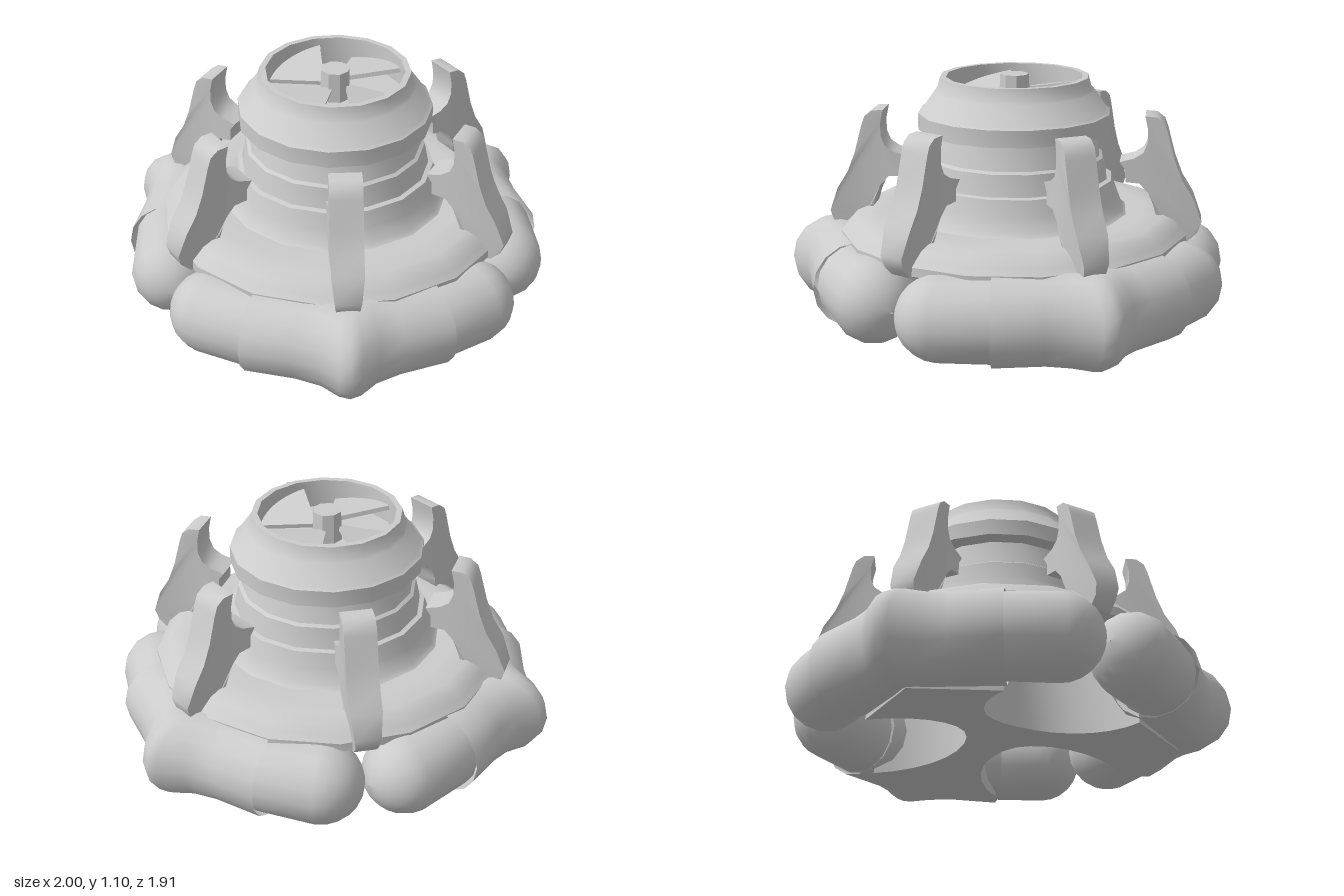
import * as THREE from 'three';
import { toCreasedNormals } from 'three/addons/utils/BufferGeometryUtils.js';

const material = new THREE.MeshStandardMaterial({ color: 0xcccccc, side: THREE.DoubleSide });
const V2 = (p) => new THREE.Vector2(p[0], p[1]);

function add(parent, name, geometry, angle = 0) {
  const mesh = new THREE.Mesh(geometry, material);
  mesh.name = name;
  mesh.rotation.y = angle;
  parent.add(mesh);
}

// Loft through oval rings [centre x, centre z, outer x, outer z, half height], z rising
function loft(rings, sides = 16, yMid = 0.213) {
  const pos = [], idx = [];
  rings.forEach(([cx, cz, ox, oz, h], i) => {
    for (let j = 0; j < sides; j++) {
      const a = (j / sides) * Math.PI * 2, c = Math.cos(a);
      pos.push(cx + (ox - cx) * c, yMid + h * Math.sin(a), cz + (oz - cz) * c);
      if (i === rings.length - 1) continue;
      const p = i * sides + j, q = i * sides + ((j + 1) % sides);
      idx.push(p, q, p + sides, q, q + sides, p + sides);
    }
  });
  const g = new THREE.BufferGeometry();
  g.setAttribute('position', new THREE.Float32BufferAttribute(pos, 3));
  g.setIndex(idx);
  g.computeVertexNormals();
  return g;
}
const mirrorRings = (rings) => rings.map(([a, b, c, d, h]) => [a, -b, c, -d, h]).reverse();

// Pointed middle of a bumper
function bumperMiddle() {
  const half = [
    [0.82, 0.035, 1.03, 0.05, 0.205], [0.77, 0.09, 0.95, 0.13, 0.203],
    [0.72, 0.17, 0.9, 0.25, 0.198], [0.65, 0.38, 0.835, 0.465, 0.198],
  ];
  return loft([...mirrorRings(half), [0.83, 0, 1.05, 0, 0.207], ...half]);
}

// Round-capped end of a bumper
function bumperEndRings() {
  const rings = [[0.66, 0.36, 0.825, 0.427, 0.184], [0.65, 0.385, 0.812, 0.452, 0.184]];
  const c = [0.54, 0.57], out = [0.15, 0.11], dir = [-0.59, 0.81], r = 0.187;
  for (let i = 0; i <= 6; i++) {
    const a = (i / 6) * Math.PI * 0.495, s = Math.cos(a), k = r * Math.sin(a);
    const x = c[0] + dir[0] * k, z = c[1] + dir[1] * k;
    rings.push([x, z, x + out[0] * s, z + out[1] * s, r * s]);
  }
  return rings;
}

// Three-lobed underbody: oval scallops, underside sloping down from the hub to the lobes
function underbodyGeometry() {
  const pts = [], centre = new THREE.Vector2();
  for (let k = 0; k < 3; k++) {
    const gap = (k * Math.PI * 2) / 3, apex = gap + Math.PI / 3;
    for (let i = 0; i <= 14; i++) {
      const a = Math.PI + (1 - i / 7) * 1.65;
      const p = new THREE.Vector2(0.55 + 0.4 * Math.cos(a), 0.34 * Math.sin(a));
      pts.push(p.rotateAround(centre, gap));
    }
    pts.push(new THREE.Vector2(0.8 * Math.cos(apex), 0.8 * Math.sin(apex)));
  }
  const g = new THREE.ExtrudeGeometry(new THREE.Shape(pts), { depth: 0.38, bevelEnabled: false });
  g.rotateX(-Math.PI / 2);
  const p = g.attributes.position;
  for (let i = 0; i < p.count; i++) {
    if (p.getY(i) < 0.1) p.setY(i, Math.max(0.008, 0.08 - 0.105 * Math.hypot(p.getX(i), p.getZ(i))));
  }
  return toCreasedNormals(g, 0.6);
}

// Bracket fin standing on the deck, narrower at its foot
function finGeometry() {
  const outline = [
    [0.59, 0.94], [0.603, 0.88], [0.603, 0.82], [0.585, 0.775], [0.545, 0.748], [0.48, 0.73],
    [0.505, 0.695], [0.507, 0.638], [0.57, 0.633], [0.61, 0.59], [0.632, 0.54], [0.645, 0.49],
    [0.7, 0.42], [0.74, 0.37], [0.79, 0.365], [0.835, 0.41], [0.85, 0.46], [0.81, 0.57],
    [0.76, 0.65], [0.725, 0.74], [0.69, 0.87], [0.675, 0.91], [0.64, 0.937],
  ];
  const g = new THREE.ExtrudeGeometry(new THREE.Shape(outline.map(V2)), { depth: 0.14, bevelEnabled: false });
  g.translate(0, 0, -0.07);
  const p = g.attributes.position;
  for (let i = 0; i < p.count; i++) {
    const taper = THREE.MathUtils.clamp((p.getY(i) - 0.42) / 0.12, 0, 1);
    p.setZ(i, p.getZ(i) * (0.72 + 0.28 * taper));
  }
  return toCreasedNormals(g, 0.7);
}

// Fan blade: a wide wedge, tilted about its length
function bladeGeometry() {
  const shape = new THREE.Shape();
  shape.moveTo(0.04, -0.024);
  shape.absarc(0, 0, 0.3, -0.55, 0.55, false);
  shape.lineTo(0.04, 0.024);
  const g = new THREE.ExtrudeGeometry(shape, { depth: 0.02, bevelEnabled: false, curveSegments: 5 });
  return g.rotateX(-Math.PI / 2).rotateX(-0.2).translate(0, 1.02, 0);
}

export function createModel() {
  const model = new THREE.Group();
  model.name = 'hoverBase';
  const body = new THREE.Group();
  body.name = 'body';
  body.position.x = 0.05;
  model.add(body);

  // Deck and stepped tower with an open top
  const profile = [
    [0.001, 0.34], [0.72, 0.34], [0.79, 0.37], [0.79, 0.41], [0.765, 0.435], [0.735, 0.467],
    [0.69, 0.487], [0.6, 0.49], [0.515, 0.488], [0.495, 0.505], [0.47, 0.57], [0.447, 0.64],
    [0.425, 0.645], [0.405, 0.74], [0.39, 0.75], [0.36, 0.865], [0.435, 0.865], [0.435, 0.94],
    [0.42, 0.95], [0.36, 1.035], [0.35, 1.045], [0.335, 1.1], [0.308, 1.1], [0.308, 0.97], [0.001, 0.97],
  ];
  add(body, 'deckAndTower', toCreasedNormals(new THREE.LatheGeometry(profile.map(V2), 16), 0.62));

  add(body, 'underbody', underbodyGeometry());

  // Three bumpers
  const middle = bumperMiddle();
  const endRings = bumperEndRings();
  const ends = [loft(endRings), loft(mirrorRings(endRings))];
  for (let k = 0; k < 3; k++) {
    const angle = Math.PI / 3 + (k * Math.PI * 2) / 3;
    add(body, 'bumperMiddle', middle, angle);
    ends.forEach((g) => add(body, 'bumperEnd', g, angle));
  }

  // Six fins
  const fin = finGeometry();
  for (let k = 0; k < 6; k++) add(body, 'fin', fin, (k * Math.PI) / 3);

  // Four-bladed fan in the tower mouth
  const fan = new THREE.Group();
  fan.name = 'fan';
  body.add(fan);
  const blade = bladeGeometry();
  for (let k = 0; k < 4; k++) add(fan, 'fanBlade', blade, 1.22 + (k * Math.PI) / 2);
  const hub = new THREE.CylinderGeometry(0.065, 0.07, 0.15, 8);
  add(fan, 'fanHub', toCreasedNormals(hub.translate(0, 1.032, 0), 0.5));

  return model;
}
